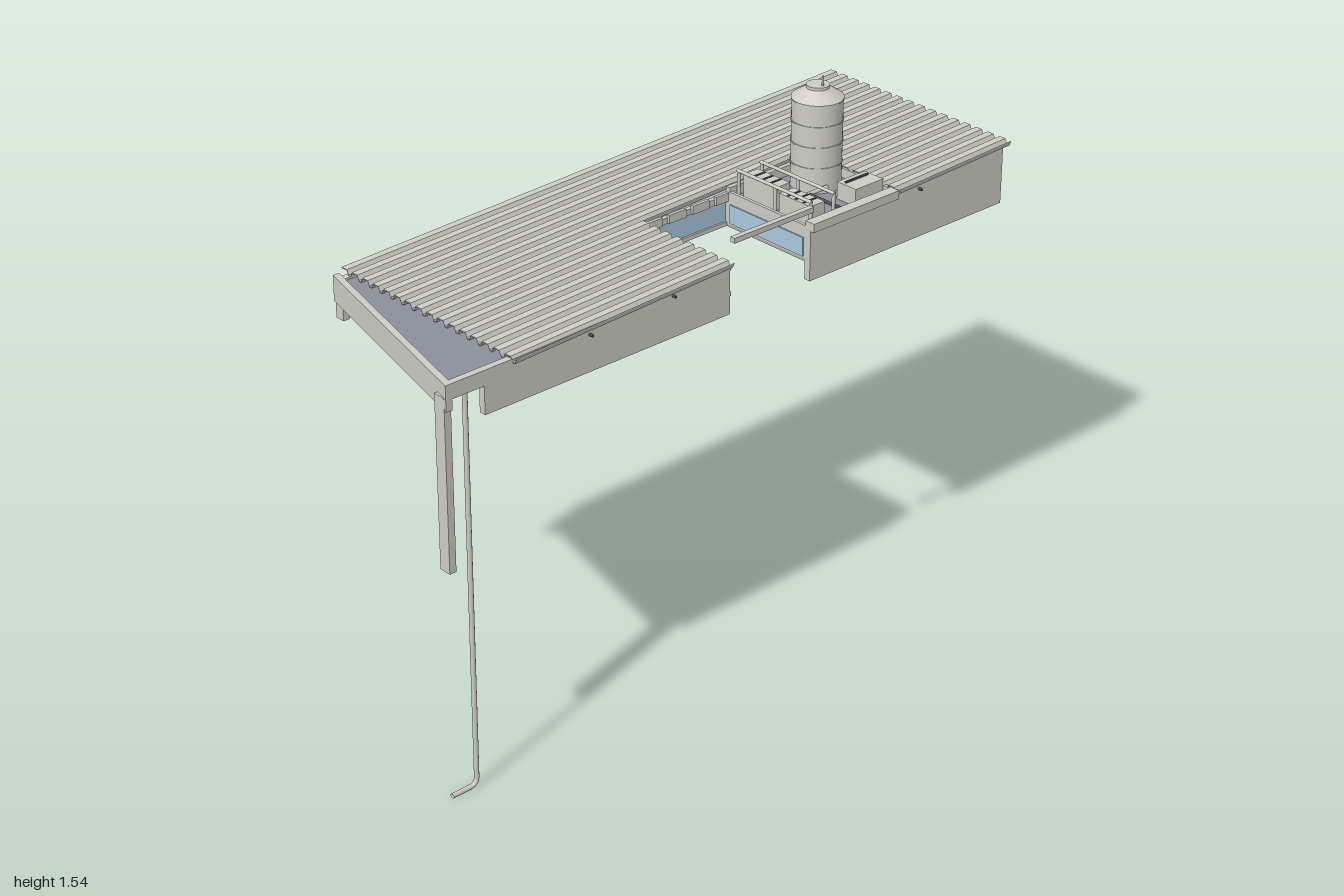
import * as THREE from 'three';

const mat = (name, color, side = THREE.FrontSide) => {
  const m = new THREE.MeshStandardMaterial({ color, side });
  m.name = name;
  return m;
};

export function createModel() {
  const root = new THREE.Group();
  root.name = 'corrugatedRoofUnit';
  const grey = mat('lightGrey', 0xcdccc5, THREE.DoubleSide);
  const slate = mat('slateFloor', 0x8a909c);
  const glass = mat('paleBlueGlass', 0xa9c8e0);
  const ceilingGrey = mat('ceilingGrey', 0xb2b0aa);
  const dark = mat('darkGrey', 0x4c4c4c);

  const add = (name, geo, material, parent = root) => {
    const m = new THREE.Mesh(geo, material);
    m.name = name;
    parent.add(m);
    return m;
  };
  // box from its minimum and maximum corners
  const box = (name, x0, x1, y0, y1, z0, z1, material = grey, parent = root) => {
    const m = add(name, new THREE.BoxGeometry(x1 - x0, y1 - y0, z1 - z0), material, parent);
    m.position.set((x0 + x1) / 2, (y0 + y1) / 2, (z0 + z1) / 2);
    return m;
  };
  const extrude = (pts, depth) => new THREE.ExtrudeGeometry(
    new THREE.Shape(pts.map(p => new THREE.Vector2(p[0], p[1]))), { depth, bevelEnabled: false });
  // upright plate from (z, y) points, outer or inner face at xMax
  const sidePlate = (name, pts, xMax, t, material = grey) =>
    add(name, extrude(pts, t).rotateY(-Math.PI / 2).translate(xMax, 0, 0), material);
  // flat plate from (x, z) points, top at yTop
  const floorPlate = (name, pts, yTop, t, material = grey) =>
    add(name, extrude(pts, t).rotateX(Math.PI / 2).translate(0, yTop, 0), material);
  const rod = (name, a, b, r, material = grey, parent = root) => {
    const va = new THREE.Vector3(...a), vb = new THREE.Vector3(...b);
    const d = vb.clone().sub(va);
    const m = add(name, new THREE.CylinderGeometry(r, r, d.length(), 10), material, parent);
    m.position.copy(va).addScaledVector(d, 0.5);
    m.quaternion.setFromUnitVectors(new THREE.Vector3(0, 1, 0), d.normalize());
    return m;
  };

  // roof slope: underside height at a given z
  const roofY = z => 1.192 + (0.78 - z) / 1.78 * 0.06;

  // corrugated sheets, sheared to the slope
  const pitch = 0.7 / 16, rib = 0.016;
  const sheet = (name, x0, periods, z0, z1) => {
    const top = [];
    for (let i = 0; i < periods; i++) {
      const x = x0 + i * pitch;
      top.push([x, rib], [x + pitch * 0.5, rib], [x + pitch * 0.64, 0.003], [x + pitch * 0.86, 0.003]);
    }
    top.push([x0 + periods * pitch, rib]);
    const under = top.map(([x, y]) => [x, y - 0.003]).reverse();
    const g = extrude([...top, ...under], z1 - z0);
    g.translate(0, 0, z0);
    const p = g.attributes.position;
    for (let i = 0; i < p.count; i++) p.setY(i, p.getY(i) + roofY(p.getZ(i)));
    g.computeVertexNormals();
    add(name, g, grey);
  };
  sheet('roofSheetMain', -0.35, 8, -1, 0.78);
  sheet('roofSheetBack', 0, 8, -1, -0.56);
  sheet('roofSheetFront', 0, 8, 0.05, 0.78);

  // outer walls
  const wallPts = (z0, z1) => [[z0, 1.08], [z1, 1.08], [z1, roofY(z1)], [z0, roofY(z0)]];
  sidePlate('wallRight', wallPts(-0.98, 0.81), -0.315, 0.02);
  sidePlate('wallLeftBack', wallPts(-0.98, -0.24), 0.335, 0.02);
  sidePlate('wallLeftFront', [[0.05, 1.08], [0.87, 1.08], [0.87, 1.2], [0.78, 1.2], [0.05, roofY(0.05)]], 0.335, 0.02);
  box('wallBack', -0.335, 0.335, 1.08, roofY(-0.98), -0.985, -0.965);

  // ceiling with the courtyard notch
  floorPlate('ceiling', [[-0.316, -0.966], [0.316, -0.966], [0.316, -0.24], [0.01, -0.24],
    [0.01, 0.05], [0.316, 0.05], [0.316, 0.79], [-0.316, 0.79]], 1.14, 0.008, ceilingGrey);

  // front canopy: sloping fascia, short end strip and flat deck
  floorPlate('canopyFascia', [[-0.335, 0.8], [0.335, 0.97], [0.335, 0.99], [-0.335, 0.82]], 1.203, 0.073);
  sidePlate('canopyEndStrip', [[0.78, 1.16], [0.98, 1.16], [0.98, 1.203], [0.78, 1.203]], 0.335, 0.02);
  floorPlate('canopyDeck', [[-0.318, 0.74], [0.318, 0.74], [0.318, 0.968], [-0.318, 0.806]], 1.186, 0.008, slate);
  floorPlate('canopySoffit', [[-0.318, 0.78], [0.318, 0.78], [0.318, 0.968], [-0.318, 0.806]], 1.168, 0.008, ceilingGrey);
  box('canopyDrop', -0.335, -0.305, 1.08, 1.16, 0.795, 0.815);

  // hanging front panel and downpipe
  box('hangingPanel', 0.288, 0.325, 0.67, 1.165, 0.967, 0.988);
  const path = new THREE.CurvePath();
  const v = (y, z) => new THREE.Vector3(0.318, y, z);
  path.add(new THREE.LineCurve3(v(1.17, 0.918), v(0.03, 0.918)));
  path.add(new THREE.QuadraticBezierCurve3(v(0.03, 0.918), v(0.008, 0.918), v(0.008, 0.94)));
  path.add(new THREE.LineCurve3(v(0.008, 0.94), v(0.008, 1.0)));
  add('downpipe', new THREE.TubeGeometry(path, 120, 0.007, 10), grey);

  // courtyard glazing, with frames and header bands
  box('courtGlassSide', 0.002, 0.01, 1.14, 1.205, -0.24, 0.05, glass);
  box('courtGlassFront', 0.01, 0.325, 1.14, 1.205, 0.05, 0.058, glass);
  box('courtHeaderSide', 0, 0.014, 1.205, roofY(0.05) + 0.006, -0.56, 0.05);
  box('courtHeaderFront', 0.01, 0.335, 1.205, roofY(0.05), 0.048, 0.062);
  box('courtSillSide', 0.002, 0.016, 1.132, 1.144, -0.24, 0.05);
  box('courtSillFront', 0.01, 0.335, 1.132, 1.144, 0.046, 0.06);
  for (let i = 0; i < 4; i++) {
    const z = 0.03 - i * 0.085;
    box('headerBracket', 0.012, 0.022, 1.207, 1.232, z - 0.03, z + 0.03);
  }
  box('courtWallBack', 0.01, 0.325, 1.132, 1.235, -0.25, -0.24);
  box('courtGlassBack', 0.03, 0.31, 1.145, 1.2, -0.2405, -0.236, glass);
  box('courtBar', 0.334, 0.35, 1.287, 1.302, -0.235, 0.05);

  // plant deck with parapets
  box('plantDeck', 0.01, 0.318, 1.205, 1.218, -0.565, -0.245, slate);
  box('parapetOuter', 0.315, 0.347, 1.225, 1.25, -0.56, -0.24);
  box('parapetInner', 0.012, 0.026, 1.21, 1.248, -0.58, -0.24);
  box('parapetBack', 0.012, 0.335, 1.21, 1.245, -0.572, -0.56);

  // water tank, with hoops and cap
  const tank = new THREE.Group();
  tank.name = 'waterTank';
  tank.position.set(0.113, 0, -0.478);
  root.add(tank);
  add('tankShell', new THREE.CylinderGeometry(0.07, 0.07, 0.257, 40).translate(0, 1.3465, 0), grey, tank);
  add('tankCone', new THREE.CylinderGeometry(0.034, 0.072, 0.026, 40).translate(0, 1.488, 0), grey, tank);
  add('tankCap', new THREE.CylinderGeometry(0.032, 0.032, 0.009, 32).translate(0, 1.505, 0), grey, tank);
  for (const y of [1.29, 1.35, 1.41, 1.472]) {
    add('tankHoop', new THREE.CylinderGeometry(0.072, 0.072, 0.004, 40).translate(0, y, 0), grey, tank);
  }
  rod('tankSpike', [0.018, 1.505, 0], [0.018, 1.537, 0], 0.003, grey, tank);

  // row of two plant units with slatted tops
  for (const [x0, x1, h] of [[0.045, 0.168, 1.285], [0.182, 0.3, 1.275]]) {
    box('plantUnit', x0, x1, 1.215, h, -0.325, -0.272);
    const n = 4, w = (x1 - x0) / n;
    for (let i = 1; i < n; i++) {
      box('unitSlat', x0 + i * w - 0.003, x0 + i * w + 0.003, h, h + 0.002, -0.322, -0.275, dark);
    }
  }
  box('cabinet', 0.222, 0.292, 1.215, 1.268, -0.555, -0.45);
  box('cabinetSlot', 0.24, 0.247, 1.268, 1.272, -0.545, -0.46, dark);

  // pipe rail on posts, and deck pipework
  for (const z of [-0.265, -0.35]) {
    rod('pipeRail', [0.03, 1.293, z], [0.312, 1.293, z], 0.005);
    for (const x of [0.035, 0.175, 0.308]) rod('railPost', [x, 1.215, z], [x, 1.293, z], 0.005);
  }
  rod('deckPipe', [0.185, 1.24, -0.45], [0.185, 1.24, -0.3], 0.006);
  rod('crossPipe', [0.185, 1.24, -0.38], [0.305, 1.24, -0.38], 0.005, dark);
  rod('ventPipe', [0.018, 1.23, -0.575], [0.018, 1.285, -0.575], 0.005);

  // small overflow spouts on the outer wall
  for (const [y, z] of [[1.185, 0.53], [1.2, 0.25], [1.225, -0.65]]) {
    rod('spout', [0.33, y, z], [0.347, y, z], 0.004, dark);
  }
  return root;
}
